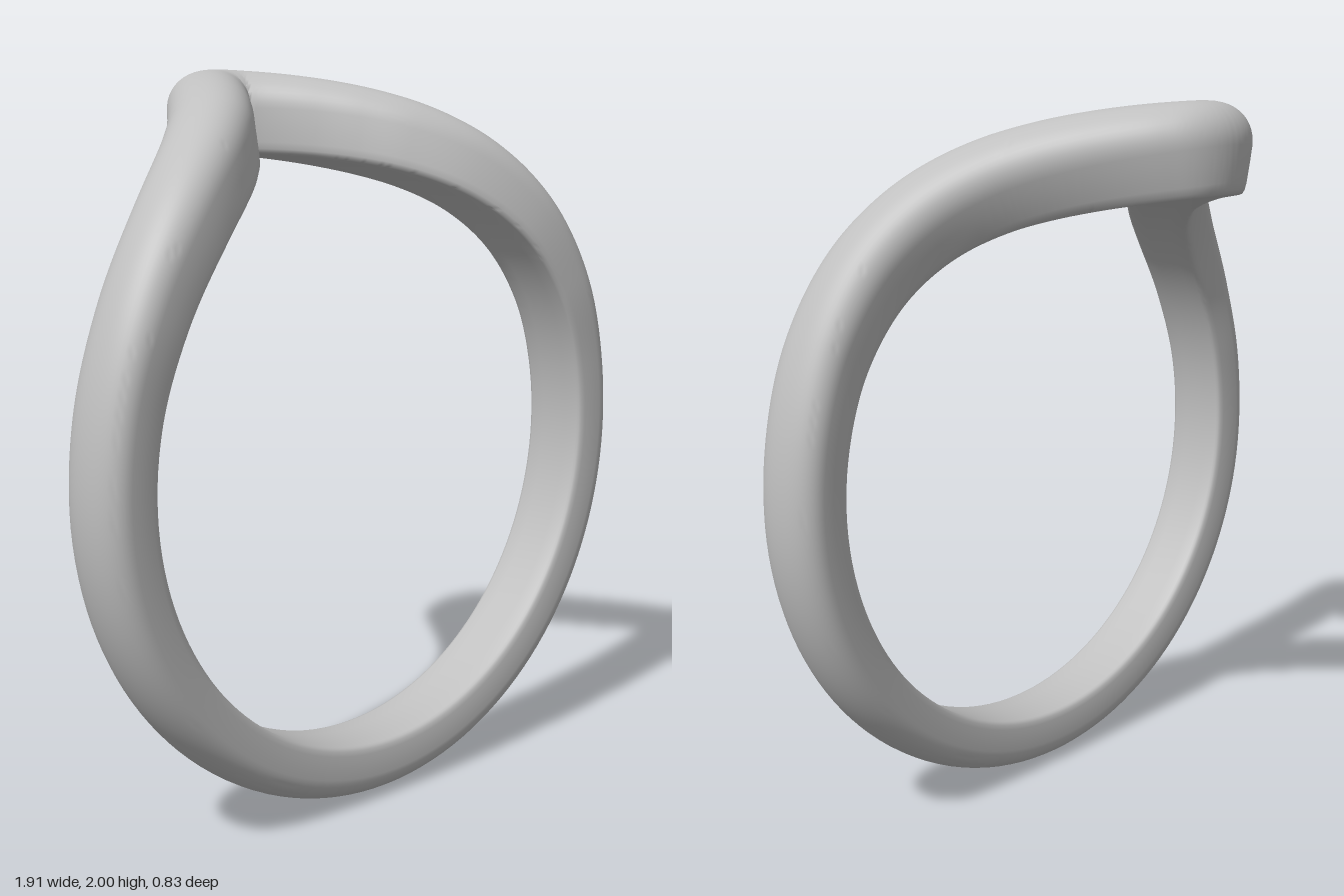
import * as THREE from 'three';
import { toCreasedNormals } from 'three/addons/utils/BufferGeometryUtils.js';

const INNER = 0.8;      // finger radius
const CENTRE_Y = 0.96;
const UNROLL = 0.88;    // radius at which the band is unrolled flat
const SEGMENTS = 320;

// Half of the band's centre line, unrolled: distance from the peak, z
const HALF_PATH = [
  [0.045, -0.297], [0.09, -0.258], [0.2, -0.117], [0.28, -0.014], [0.37, 0.085], [0.51, 0.19],
  [0.7, 0.266], [0.94, 0.3], [1.2, 0.305], [1.7, 0.305], [2.2, 0.305], [Math.PI * UNROLL, 0.305],
];

// Cross-section (across, height): soft inner corners, steep sides, domed crown
function bandProfile() {
  const side = [[0.8, 0], [0.87, 0.015], [0.92, 0.06], [0.95, 0.14], [0.98, 0.34]];
  const points = side.map(([u, h]) => [-u, h]);
  const n = 24;
  for (let i = 0; i <= n; i++) {
    const a = Math.PI * (1 - i / n);
    const c = Math.cos(a);
    points.push([Math.sign(c) * Math.abs(c) ** 0.92, 0.54 + 0.46 * Math.sin(a) ** 0.92]);
  }
  points.push(...side.slice().reverse());
  // flat inside face
  for (const u of [0.4, 0, -0.4]) points.push([u, 0]);
  return points;
}

function bandGeometry() {
  const path = new THREE.CatmullRomCurve3([
    ...HALF_PATH.slice().reverse().map(([s, z]) => new THREE.Vector3(-s, z, 0)),
    new THREE.Vector3(0, -0.307, 0),
    ...HALF_PATH.map(([s, z]) => new THREE.Vector3(s, z, 0)),
  ]);
  const profile = bandProfile();
  const m = profile.length;
  const positions = [], indices = [];

  for (let i = 0; i <= SEGMENTS; i++) {
    const p = path.getPoint(i / SEGMENTS);
    const t = path.getTangent(i / SEGMENTS);
    const middle = i === SEGMENTS / 2;
    // band grows thicker and a little wider towards the peak
    const swell = Math.max(0, Math.cos(p.x / UNROLL)) ** 2;
    const thick = 0.157 + 0.083 * swell;
    const half = 0.105 + 0.008 * swell;
    for (const [u, h] of profile) {
      let s = p.x - t.y * u * half;
      const z = p.y + t.x * u * half;
      // both arms meet in a sharp notch on the mirror plane
      if (middle) s = 0;
      else s = i > SEGMENTS / 2 ? Math.max(0, s) : Math.min(0, s);
      const a = s / UNROLL, r = INNER + h * thick;
      positions.push(r * Math.sin(a), CENTRE_Y + r * Math.cos(a), z);
    }
  }
  for (let i = 0; i < SEGMENTS; i++) {
    for (let j = 0; j < m; j++) {
      const a = i * m + j, b = i * m + (j + 1) % m;
      indices.push(a, b, a + m, b, b + m, a + m);
    }
  }
  const geometry = new THREE.BufferGeometry();
  geometry.setAttribute('position', new THREE.Float32BufferAttribute(positions, 3));
  geometry.setIndex(indices);
  return toCreasedNormals(geometry, 0.8);
}

export function createModel() {
  const metal = new THREE.MeshStandardMaterial({ color: 0xc0c0c0 });
  metal.name = 'silver grey';
  const band = new THREE.Mesh(bandGeometry(), metal);
  band.name = 'ringBand';
  const model = new THREE.Group();
  model.name = 'chevronRing';
  model.add(band);
  return model;
}
